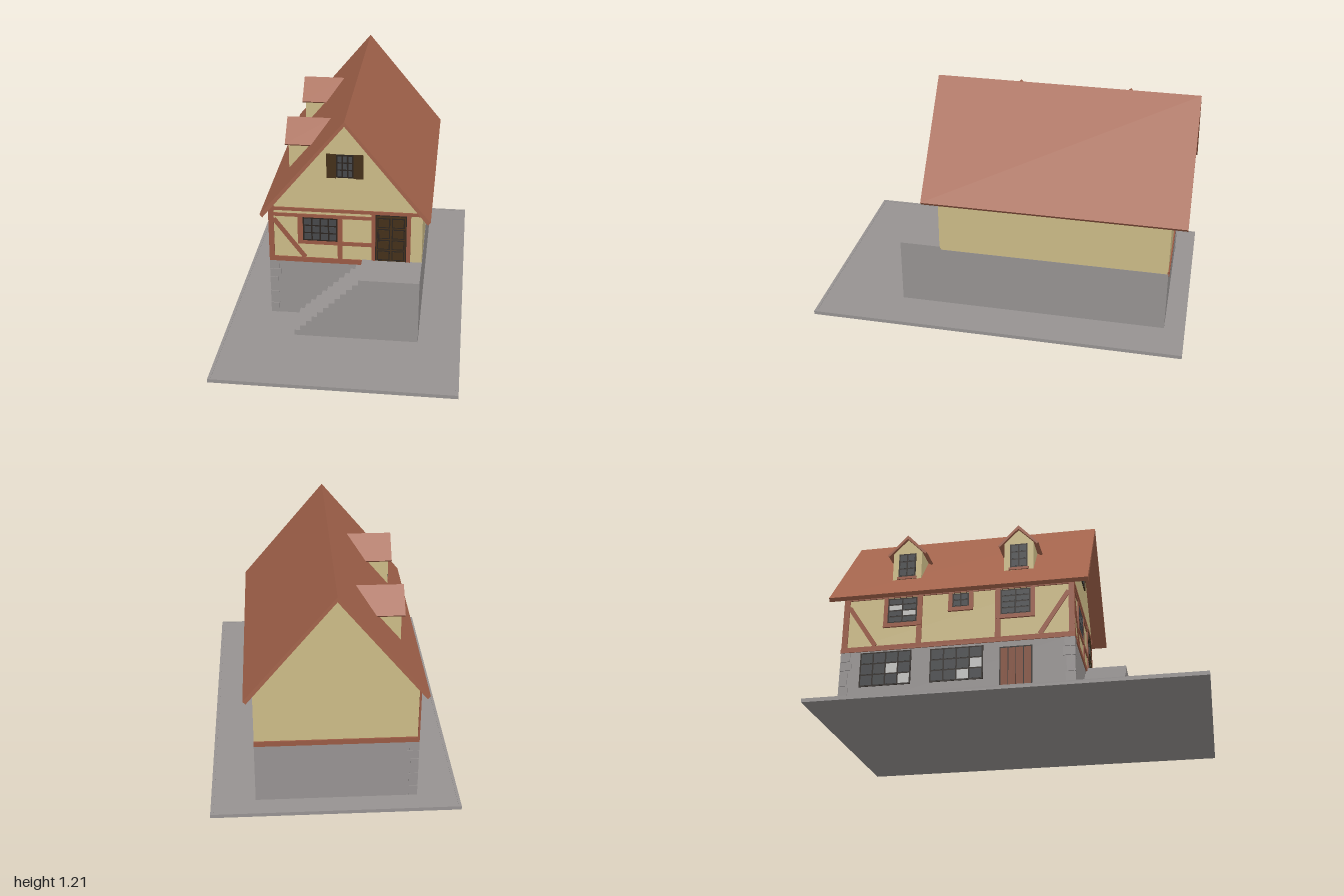
import * as THREE from 'three';

const mat = (name, color) => Object.assign(new THREE.MeshStandardMaterial({ color }), { name });

export function createModel() {
  const stone = mat('stone', 0x979392);
  const plaster = mat('plaster', 0xccbb87);
  const tile = mat('roofTile', 0xa3634b);
  const timber = mat('timber', 0x9a5a44);
  const glass = mat('glass', 0x46484a);
  const frameMat = mat('windowFrame', 0x2b241f);
  const wood = mat('darkWood', 0x443019);
  const doorWood = mat('redDoorWood', 0x824c36);
  const light = mat('paleGlass', 0xc4c4c2);

  const house = new THREE.Group();
  house.name = 'house';

  // Box given by its lower and upper corners
  const box = (parent, name, m, x0, x1, y0, y1, z0, z1) => {
    const mesh = new THREE.Mesh(new THREE.BoxGeometry(x1 - x0, y1 - y0, z1 - z0), m);
    mesh.position.set((x0 + x1) / 2, (y0 + y1) / 2, (z0 + z1) / 2);
    mesh.name = name;
    parent.add(mesh);
    return mesh;
  };
  // Outline in x and y, pulled from z0 to z1
  const prism = (parent, name, m, points, z0, z1) => {
    const shape = new THREE.Shape(points.map(p => new THREE.Vector2(p[0], p[1])));
    const geo = new THREE.ExtrudeGeometry(shape, { depth: z1 - z0, bevelEnabled: false });
    geo.translate(0, 0, z0);
    const mesh = new THREE.Mesh(geo, m);
    mesh.name = name;
    parent.add(mesh);
    return mesh;
  };
  const group = (parent, name, x = 0, y = 0, z = 0, turn = 0) => {
    const g = new THREE.Group();
    g.name = name;
    g.position.set(x, y, z);
    g.rotation.y = turn;
    parent.add(g);
    return g;
  };
  // Flat timber on a wall whose local z points outward
  const beam = (wall, x0, x1, y0, y1) => box(wall, 'timberBeam', timber, x0, x1, y0, y1, -0.004, 0.006);
  // Slanted timber between two points
  const brace = (wall, ax, ay, bx, by, w = 0.024) => {
    const mesh = box(wall, 'timberBrace', timber, 0, Math.hypot(bx - ax, by - ay), -w / 2, w / 2, -0.004, 0.005);
    mesh.position.set((ax + bx) / 2, (ay + by) / 2, 0.0005);
    mesh.rotation.z = Math.atan2(by - ay, bx - ax);
  };
  // Window with a grid of panes; pale lists the lighter panes
  const windowAt = (wall, x0, x1, y0, y1, cols, rows, pale = []) => {
    const g = group(wall, 'window');
    const bar = 0.008;
    box(g, 'windowFrame', frameMat, x0, x1, y0, y1, -0.003, 0.004);
    const w = (x1 - x0 - bar) / cols, h = (y1 - y0 - bar) / rows;
    for (let c = 0; c < cols; c++) for (let r = 0; r < rows; r++) {
      const x = x0 + bar + c * w, y = y0 + bar + r * h;
      box(g, 'pane', pale.includes(r * cols + c) ? light : glass, x, x + w - bar, y, y + h - bar, 0.003, 0.0055);
    }
  };

  // Ground slab with a narrow rim
  box(house, 'groundSlab', stone, -0.615, 0.615, 0, 0.018, -0.985, 0.985);
  for (const s of [-1, 1]) {
    box(house, 'groundRim', stone, s * 0.6225 - 0.0075, s * 0.6225 + 0.0075, 0, 0.02, -1, 1);
    box(house, 'groundRim', stone, -0.615, 0.615, 0, 0.02, s * 0.9925 - 0.0075, s * 0.9925 + 0.0075);
  }

  // Stone base, plastered body and roof
  box(house, 'stoneBase', stone, -0.412, 0.404, 0.015, 0.36, -0.89, 0.34);
  prism(house, 'plasterBody', plaster,
    [[-0.41, 0.36], [0.403, 0.36], [0.403, 0.686], [0, 1.183], [-0.41, 0.678]], -0.889, 0.339);
  prism(house, 'mainRoof', tile,
    [[0, 1.205], [-0.447, 0.664], [-0.433, 0.647], [0, 1.18], [0.433, 0.647], [0.447, 0.664]], -0.973, 0.422);

  // Landing and stairs
  const steps = [[0.404, 0.015], [0.404, 0.378], [0.085, 0.378]];
  for (let i = 11; i > 0; i--) {
    const x = -0.255 + i * 0.0309;
    if (i < 11) steps.push([x + 0.0309, 0.02 + (i + 1) * 0.0298]);
    steps.push([i < 11 ? x : 0.085, 0.02 + (i + 1) * 0.0298]);
  }
  steps.push([-0.2241, 0.0498], [-0.255, 0.0498], [-0.255, 0.015]);
  const outline = steps.filter((p, i) => !i || Math.hypot(p[0] - steps[i - 1][0], p[1] - steps[i - 1][1]) > 0.002);
  prism(house, 'frontStairs', stone, outline, 0.335, 0.558);

  // Corner stones on the two timbered corners
  [[0.02, 0.078, 0.04], [0.082, 0.155, 0.046], [0.159, 0.243, 0.04], [0.247, 0.293, 0.058], [0.297, 0.347, 0.048]]
    .forEach(([y0, y1, w]) => {
      box(house, 'cornerStone', stone, -0.417, -0.415 + w, y0, y1, 0.34 - w, 0.345);
      box(house, 'cornerStone', stone, -0.417, -0.415 + w, y0, y1, -0.893, -0.89 + w);
    });

  // Front wall
  const front = group(house, 'frontWall', 0, 0, 0.34);
  beam(front, -0.416, 0.085, 0.348, 0.376);
  beam(front, -0.416, -0.388, 0.376, 0.69);
  beam(front, -0.388, 0.404, 0.655, 0.673);
  beam(front, -0.388, 0.135, 0.62, 0.638);
  beam(front, -0.26, -0.232, 0.46, 0.62);
  beam(front, -0.232, 0.135, 0.46, 0.481);
  beam(front, -0.046, -0.02, 0.376, 0.62);
  beam(front, 0.135, 0.155, 0.376, 0.655);
  beam(front, 0.32, 0.342, 0.376, 0.655);
  brace(front, -0.388, 0.602, -0.222, 0.378);
  windowAt(front, -0.232, -0.046, 0.481, 0.62, 4, 3);
  windowAt(front, -0.052, 0.04, 0.86, 0.99, 3, 3);
  box(front, 'leftShutter', wood, 0.04, 0.09, 0.858, 0.992, -0.002, 0.007);
  box(front, 'rightShutter', wood, -0.102, -0.052, 0.858, 0.992, -0.002, 0.007);

  // Panelled front door
  const door = group(front, 'frontDoor');
  box(door, 'doorFrame', frameMat, 0.155, 0.32, 0.378, 0.652, -0.002, 0.003);
  box(door, 'doorLeaf', wood, 0.16, 0.315, 0.38, 0.648, -0.002, 0.004);
  for (let c = 0; c < 2; c++) for (let r = 0; r < 4; r++) {
    const x = 0.165 + c * 0.077, y = 0.385 + r * 0.065;
    box(door, 'panelGroove', frameMat, x, x + 0.068, y, y + 0.058, 0, 0.0055);
    box(door, 'doorPanel', wood, x + 0.006, x + 0.062, y + 0.006, y + 0.052, 0, 0.007);
  }
  box(door, 'doorHandle', frameMat, 0.171, 0.178, 0.5, 0.545, 0.003, 0.013);

  // Left wall, local x runs along world z
  const side = group(house, 'leftWall', -0.411, 0, 0, -Math.PI / 2);
  beam(side, -0.893, 0.345, 0.348, 0.376);
  beam(side, -0.893, 0.345, 0.65, 0.672);
  beam(side, -0.893, -0.862, 0.376, 0.65);
  beam(side, 0.316, 0.345, 0.376, 0.65);
  beam(side, -0.49, -0.462, 0.376, 0.65);
  beam(side, -0.07, -0.042, 0.376, 0.65);
  brace(side, -0.862, 0.61, -0.71, 0.378);
  brace(side, 0.316, 0.61, 0.165, 0.378);
  // Upper windows with timber surrounds
  [[-0.65, -0.49, 0.5, 2, 4, [3, 4]], [-0.3, -0.21, 0.565, 2, 2, []], [-0.042, 0.118, 0.5, 2, 4, []]]
    .forEach(([x0, x1, y0, c, r, pale]) => {
      beam(side, x0 - 0.022, x0, y0 - 0.02, 0.65);
      beam(side, x1, x1 + 0.022, y0 - 0.02, 0.65);
      box(side, 'windowSill', timber, x0 - 0.022, x1 + 0.022, y0 - 0.022, y0, -0.004, 0.01);
      windowAt(side, x0, x1, y0, 0.645, c, r, pale);
    });
  // Cellar windows and plank door
  windowAt(side, -0.785, -0.51, 0.15, 0.34, 4, 3, [3, 6]);
  windowAt(side, -0.41, -0.13, 0.15, 0.335, 4, 3, [2, 7]);
  box(side, 'cellarDoorFrame', frameMat, -0.045, 0.125, 0.02, 0.318, -0.002, 0.003);
  for (let i = 0; i < 4; i++)
    box(side, 'cellarDoorPlank', doorWood, -0.038 + i * 0.04, -0.002 + i * 0.04, 0.022, 0.31, -0.002, 0.006);

  // Back wall beam
  box(house, 'backBeam', timber, -0.416, 0.404, 0.348, 0.376, -0.896, -0.886);

  // Dormers, local z points out of the left slope
  for (const z of [-0.58, 0.04]) {
    const d = group(house, 'dormer', -0.335, 0, z, -Math.PI / 2);
    prism(d, 'dormerBody', plaster,
      [[-0.08, 0.76], [0.08, 0.76], [0.08, 0.965], [0, 1.045], [-0.08, 0.965]], -0.2, 0);
    prism(d, 'dormerRoof', tile,
      [[0, 1.065], [-0.11, 0.95], [-0.102, 0.941], [0, 1.043], [0.102, 0.941], [0.11, 0.95]], -0.23, 0.016);
    box(d, 'dormerSill', timber, -0.055, 0.055, 0.8, 0.814, -0.002, 0.007);
    windowAt(d, -0.048, 0.048, 0.814, 0.955, 2, 3);
  }
  return house;
}
